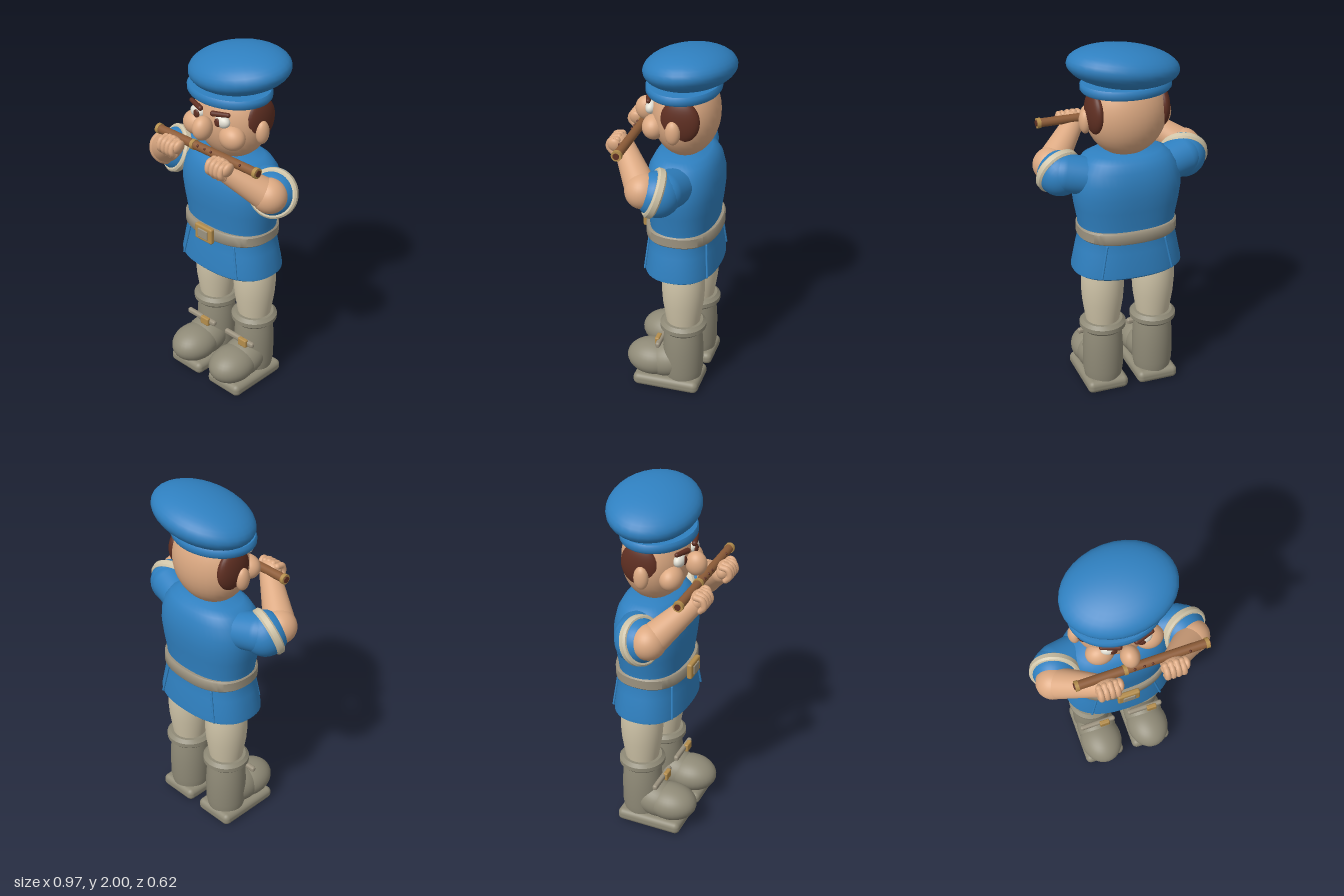
import * as THREE from 'three';
import { mergeVertices, toCreasedNormals } from 'three/addons/utils/BufferGeometryUtils.js';
import { RoundedBoxGeometry } from 'three/addons/geometries/RoundedBoxGeometry.js';

const V = (x, y, z) => new THREE.Vector3(x, y, z);
const UP = V(0, 1, 0);
const colour = (name, hex) => {
  const m = new THREE.MeshStandardMaterial({ color: hex });
  m.name = name;
  return m;
};

export function createModel() {
  const root = new THREE.Group();
  root.name = 'fluteplayer';
  const blue = colour('blue cloth', 0x2f80c0);
  const skin = colour('skin', 0xdca982);
  const cream = colour('cream cloth', 0xcfc4a8);
  const boot = colour('boot leather', 0x8f8a77);
  const grey = colour('belt leather', 0x9b927f);
  const gold = colour('brass', 0xb48d4c);
  const wood = colour('wood', 0x8d5c38);
  const brown = colour('dark brown', 0x5f2f22);
  const white = colour('eye white', 0xe2dfd3);

  const add = (name, geo, mat, pos = [0, 0, 0], rot = [0, 0, 0], parent = root) => {
    const m = new THREE.Mesh(geo, mat);
    m.name = name;
    m.position.set(...pos);
    m.rotation.set(...rot);
    parent.add(m);
    return m;
  };
  const ball = (name, mat, pos, [rx, ry, rz], rot, parent) =>
    add(name, new THREE.SphereGeometry(1, 32, 20).scale(rx, ry, rz), mat, pos, rot, parent);
  const lathe = (pts) => new THREE.LatheGeometry(pts.map((p) => new THREE.Vector2(...p)), 48);
  // Smooth surface with sharp edges kept
  const creased = (geo) => {
    geo.deleteAttribute('uv');
    geo.deleteAttribute('normal');
    return toCreasedNormals(mergeVertices(geo, 1e-4), 0.75);
  };
  // Lathe squashed into a rounded-oblong cross-section
  const oblong = (pts, ratio) => {
    const geo = lathe(pts);
    const p = geo.attributes.position;
    for (let i = 0; i < p.count; i++) {
      const x = p.getX(i), z = p.getZ(i), r = Math.hypot(x, z);
      if (r < 1e-6) continue;
      const n = 2.4;
      const k = 1 / (Math.abs(x / r) ** n + Math.abs(z / r) ** n) ** (1 / n);
      p.setXYZ(i, x * k, p.getY(i), z * k * ratio);
    }
    return creased(geo);
  };
  // Round-ended tapered limb between two points
  const limb = (name, mat, a, b, ra, rb, parent) => {
    const d = b.clone().sub(a), len = d.length(), pts = [];
    for (let i = 0; i <= 8; i++) {
      const t = -Math.PI / 2 + (i / 8) * Math.PI / 2;
      pts.push([Math.max(0, ra * Math.cos(t)), ra * Math.sin(t)]);
    }
    for (let i = 0; i <= 8; i++) {
      const t = (i / 8) * Math.PI / 2;
      pts.push([Math.max(0, rb * Math.cos(t)), len + rb * Math.sin(t)]);
    }
    const m = add(name, lathe(pts), mat, a.toArray(), [0, 0, 0], parent);
    m.quaternion.setFromUnitVectors(UP, d.normalize());
    return m;
  };
  // Band with rounded edges: radius, height, thickness
  const band = (r, h, t) => {
    const c = Math.min(h, t) * 0.3;
    return [[r - t, -h / 2], [r - c, -h / 2], [r, -h / 2 + c], [r, h / 2 - c], [r - c, h / 2], [r - t, h / 2], [r - t, -h / 2]];
  };

  // Tunic with hem, waist and shoulders
  add('tunic', oblong([[0, 0.74], [0.29, 0.735], [0.304, 0.745], [0.303, 0.765], [0.28, 0.88], [0.262, 0.96], [0.268, 1.03],
    [0.285, 1.12], [0.296, 1.2], [0.292, 1.27], [0.27, 1.34], [0.235, 1.385], [0.19, 1.408], [0, 1.412]], 0.67), blue, [0, 0, -0.052]);
  for (const s of [-1, 1])
    for (const f of [-1, 1])
      limb('tunicPleat', blue, V(s * 0.2, 0.755, f > 0 ? 0.123 : -0.227), V(s * 0.165, 0.93, f > 0 ? 0.107 : -0.211), 0.006, 0.006);

  // Belt and buckle
  add('belt', oblong(band(0.273, 0.068, 0.03), 0.735), grey, [0, 0.975, -0.052]);
  add('buckleFrame', new RoundedBoxGeometry(0.125, 0.092, 0.03, 3, 0.01), gold, [0, 0.978, 0.16]);
  add('buckleCentre', new RoundedBoxGeometry(0.07, 0.054, 0.018, 2, 0.005), grey, [0, 0.978, 0.172]);

  // Legs and boots
  for (const s of [-1, 1]) {
    const g = new THREE.Group();
    g.name = s < 0 ? 'rightLeg' : 'leftLeg';
    g.position.x = s * 0.148;
    root.add(g);
    add('trouserLeg', lathe([[0.085, 0.38], [0.098, 0.46], [0.112, 0.55], [0.118, 0.63], [0.117, 0.7], [0.108, 0.78]]), cream, [0, 0, -0.08], [0, 0, 0], g);
    add('bootCuff', creased(lathe(band(0.128, 0.06, 0.06))), boot, [0, 0.4, -0.08], [0, 0, 0], g);
    add('bootShaft', lathe([[0.1, 0.05], [0.112, 0.12], [0.113, 0.25], [0.108, 0.33], [0.1, 0.39]]), boot, [0, 0, -0.08], [0, 0, 0], g);
    ball('bootToe', boot, [0, 0.145, 0.095], [0.122, 0.1, 0.15], [0, 0, 0], g);
    ball('bootInstep', boot, [0, 0.15, 0.01], [0.115, 0.105, 0.15], [0.25, 0, 0], g);
    add('bootSole', new RoundedBoxGeometry(0.236, 0.072, 0.378, 4, 0.03), boot, [0, 0.037, -0.002], [0, 0, 0], g);
    add('bootStrap', new RoundedBoxGeometry(0.215, 0.032, 0.028, 3, 0.012), grey, [0, 0.29, 0.04], [0, 0, 0], g);
    add('strapBuckle', new RoundedBoxGeometry(0.06, 0.048, 0.026, 2, 0.007), gold, [0.04, 0.29, 0.054], [0, 0, 0], g);
  }

  // Head and face
  ball('head', skin, [0, 1.62, -0.052], [0.22, 0.235, 0.178]);
  ball('nose', skin, [0, 1.61, 0.168], [0.05, 0.066, 0.058]);
  for (const s of [-1, 1]) {
    ball('cheek', skin, [s * 0.13, 1.57, 0.085], [0.075, 0.066, 0.062]);
    ball('sideHair', brown, [s * 0.178, 1.64, -0.068], [0.046, 0.118, 0.104]);
    ball('ear', skin, [s * 0.222, 1.588, -0.042], [0.032, 0.064, 0.04]);
    ball('eye', white, [s * 0.088, 1.658, 0.112], [0.046, 0.034, 0.03]);
    ball('iris', brown, [s * 0.075, 1.656, 0.137], [0.02, 0.023, 0.009]);
    limb('eyebrow', brown, V(s * 0.045, 1.698, 0.138), V(s * 0.13, 1.708, 0.115), 0.015, 0.012);
  }

  // Cap
  add('capBand', creased(lathe([[0, -0.02], [0.235, -0.024], [0.244, -0.012], [0.244, 0.012], [0.235, 0.024], [0, 0.03]]).scale(1, 1, 0.8)),
    blue, [-0.005, 1.764, -0.037]);
  ball('capCrown', blue, [0.025, 1.878, -0.077], [0.298, 0.114, 0.238], [0.1, 0, 0.14]);

  // Arms: sleeve, cuff, elbow and forearm
  for (const s of [-1, 1]) {
    const g = new THREE.Group();
    g.name = s < 0 ? 'rightArm' : 'leftArm';
    root.add(g);
    const dir = V(s * 0.32, 0.36, 0.88).normalize();
    const centre = V(s * 0.355, 1.308, 0.015);
    limb('shoulder', blue, V(s * 0.22, 1.29, -0.06), V(s * 0.33, 1.31, -0.03), 0.1, 0.105, g);
    const sleeve = ball('sleeve', blue, centre.clone().addScaledVector(dir, -0.02).toArray(), [0.122, 0.12, 0.122], [0, 0, 0], g);
    sleeve.quaternion.setFromUnitVectors(UP, dir);
    const cuff = add('sleeveCuff', creased(lathe(band(0.133, 0.046, 0.032))), cream, centre.toArray(), [0, 0, 0], g);
    cuff.quaternion.setFromUnitVectors(UP, dir);
    const elbow = V(s * 0.378, 1.325, 0.07);
    ball('elbow', skin, elbow.toArray(), [0.096, 0.094, 0.092], [0, 0, 0], g);
    limb('forearm', skin, V(s * 0.35, 1.345, 0.095), V(s < 0 ? -0.16 : 0.2, 1.472, 0.225), 0.082, 0.056, g);
  }

  // Hands gripping the flute, both facing the same way
  for (const x of [-0.145, 0.205]) {
    const g = new THREE.Group();
    g.name = x < 0 ? 'rightHand' : 'leftHand';
    g.position.set(x, 1.49, 0.245);
    root.add(g);
    ball('palm', skin, [0, 0, 0], [0.068, 0.052, 0.046], [0, 0, 0], g);
    ball('thumb', skin, [0.058, 0.012, 0.01], [0.022, 0.04, 0.036], [0, 0, -0.25], g);
    for (let i = 0; i < 4; i++) {
      const fx = -0.046 + i * 0.029, edge = Math.abs(i - 1.5) * 0.006;
      const path = new THREE.CatmullRomCurve3([V(fx, 0.042 - edge, 0), V(fx, 0.026, 0.036), V(fx, -0.012, 0.046), V(fx, -0.045 + edge, 0.025)]);
      add('finger', new THREE.TubeGeometry(path, 12, 0.0175, 10), skin, [0, 0, 0], [0, 0, 0], g);
      for (const t of [0, 1]) ball('fingerEnd', skin, path.getPoint(t).toArray(), [0.0175, 0.0175, 0.0175], [0, 0, 0], g);
    }
  }

  // Flute lying along x
  const flute = new THREE.Group();
  flute.name = 'flute';
  flute.position.set(0.055, 1.515, 0.195);
  root.add(flute);
  const tube = (name, mat, x, r, len) =>
    add(name, new THREE.CylinderGeometry(r, r, len, 24), mat, [x, 0, 0], [0, 0, Math.PI / 2], flute);
  tube('fluteBody', wood, 0, 0.024, 0.69);
  for (const x of [-0.346, -0.09, 0.346]) tube('fluteRing', gold, x, 0.028, 0.02);
  for (const x of [-0.358, 0.358]) tube('fluteBore', brown, x, 0.017, 0.006);
  for (const x of [-0.045, 0.005, 0.05, 0.25])
    ball('fluteHole', brown, [x, 0.014, 0.019], [0.007, 0.007, 0.007], [0, 0, 0], flute);

  return root;
}
